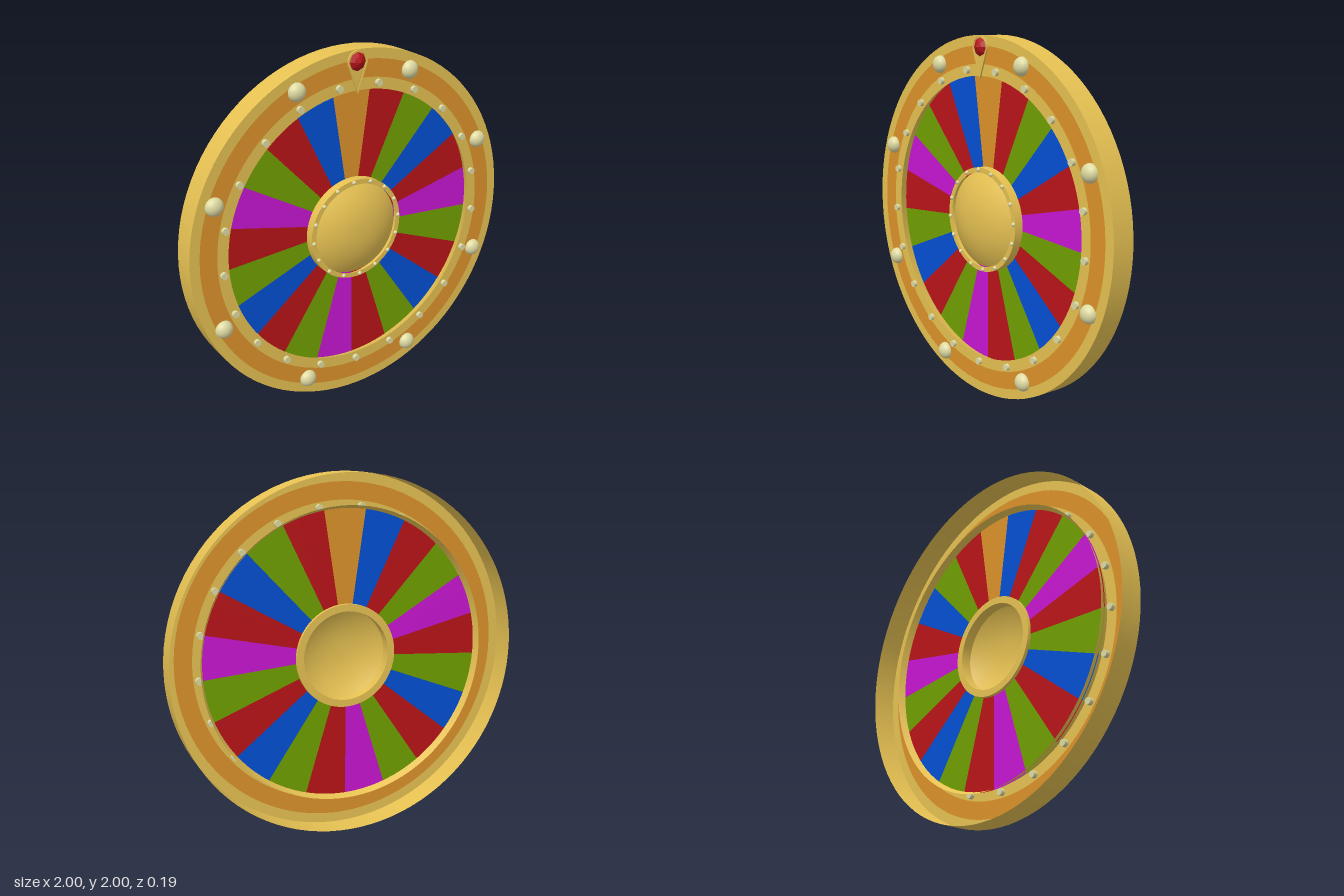
import * as THREE from 'three';

const TAU = Math.PI * 2;
const mat = (name, color) => {
  const m = new THREE.MeshStandardMaterial({ color, side: THREE.DoubleSide });
  m.name = name;
  return m;
};

export function createModel() {
  const gold = mat('gold', 0xe6c152);
  const orange = mat('orange', 0xdc932a);
  const red = mat('red', 0xba1418);
  const green = mat('green', 0x71a000);
  const blue = mat('blue', 0x0350d4);
  const purple = mat('purple', 0xc816d2);
  const pale = mat('pale stud', 0xdedaa2);
  const gemRed = mat('gem red', 0xb5141a);

  const model = new THREE.Group();
  model.name = 'prizeWheel';
  const wheel = new THREE.Group();
  wheel.name = 'wheel';
  wheel.position.y = 1;
  model.add(wheel);

  const add = (name, geometry, material, x = 0, y = 0, z = 0) => {
    const mesh = new THREE.Mesh(geometry, material);
    mesh.name = name;
    mesh.position.set(x, y, z);
    wheel.add(mesh);
    return mesh;
  };
  // flat annulus facing the front
  const ring = (name, inner, outer, z, material) =>
    add(name, new THREE.RingGeometry(inner, outer, 96), material, 0, 0, z);
  // open tube along z, from the back radius to the front radius
  const wall = (name, rBack, rFront, z0, z1, material) =>
    add(name, new THREE.CylinderGeometry(rFront, rBack, z1 - z0, 96, 1, true).rotateX(Math.PI / 2),
      material, 0, 0, (z0 + z1) / 2);
  // evenly spaced items, clockwise from the top
  const around = (count, startDeg, r, place) => {
    for (let i = 0; i < count; i++) {
      const a = THREE.MathUtils.degToRad(startDeg) + (i / count) * TAU;
      place(Math.sin(a) * r, Math.cos(a) * r);
    }
  };

  // Rim: a thin shell, open at the back
  const face = 0.038;
  wall('rimWall', 1, 1, -0.097, face, gold);
  ring('outerBand', 0.945, 1, face, gold);
  ring('orangeBand', 0.848, 0.945, face, orange);
  ring('innerBand', 0.785, 0.848, face, gold);

  // Flared collar that holds the recessed disc
  wall('collar', 0.825, 0.785, -0.05, face, gold);

  // Coloured wedges, just reaching through the collar
  const order = [orange, red, green, blue, red, purple, green, red, blue, green, red,
    purple, green, red, blue, green, red, purple, green, red, blue];
  const step = TAU / order.length;
  order.forEach((material, i) => add('wedge' + (i + 1),
    new THREE.RingGeometry(0.27, 0.814, 8, 1, Math.PI / 2 - (i + 0.5) * step, step),
    material, 0, 0, -0.012));

  // Hub: ring with a hollow dome
  wall('hubWall', 0.29, 0.29, -0.032, 0.04, gold);
  wall('hubInnerWall', 0.25, 0.25, -0.032, 0.028, gold);
  ring('hubFront', 0.262, 0.29, 0.04, gold);
  ring('hubBack', 0.25, 0.29, -0.032, gold);
  const domeProfile = [];
  for (let i = 16; i >= 0; i--) {
    const t = i / 16;
    domeProfile.push(new THREE.Vector2(0.265 * t, 0.095 - 0.076 * t ** 2.3));
  }
  add('hubDome', new THREE.LatheGeometry(domeProfile, 64).rotateX(Math.PI / 2), gold);

  // Large round studs on the orange band
  const bulb = new THREE.SphereGeometry(0.05, 24, 12, 0, TAU, 0, Math.PI / 2)
    .scale(1, 0.84, 1).rotateX(Math.PI / 2);
  around(8, 21.6, 0.91, (x, y) => add('largeStud', bulb, pale, x, y, face + 0.001));

  // Small pegs that pass through the inner band
  const peg = new THREE.CylinderGeometry(0.019, 0.019, 0.044, 16).rotateX(Math.PI / 2);
  around(21, 9.3, 0.82, (x, y) => add('peg', peg, pale, x, y, 0.036));

  // Tiny studs on the hub ring
  const bead = new THREE.SphereGeometry(0.012, 12, 8);
  around(16, -4, 0.278, (x, y) => add('hubStud', bead, pale, x, y, 0.04));

  // Pointer: teardrop plate with a raised border
  const drop = (r, tip) => {
    const s = new THREE.Shape();
    s.moveTo(0, tip);
    s.lineTo(r * 0.95, -r * 0.32);
    s.absarc(0, 0, r, -0.325, Math.PI + 0.325, false);
    s.closePath();
    return s;
  };
  const extrude = (shape, depth) =>
    new THREE.ExtrudeGeometry(shape, { depth, bevelEnabled: false, curveSegments: 32 });
  add('pointerPlate', extrude(drop(0.06, -0.17), 0.006), gold, 0, 0.938, face + 0.001);
  const borderShape = drop(0.06, -0.17);
  borderShape.holes.push(drop(0.052, -0.15));
  add('pointerBorder', extrude(borderShape, 0.01), gold, 0, 0.938, face + 0.001);

  // Faceted pointed gem
  const gem = new THREE.LatheGeometry([
    new THREE.Vector2(0.05, 0), new THREE.Vector2(0.03, 0.016), new THREE.Vector2(0, 0.03),
  ], 8).rotateX(Math.PI / 2).toNonIndexed();
  gem.computeVertexNormals();
  add('pointerGem', gem, gemRed, 0, 0.938, 0.045);

  return model;
}
